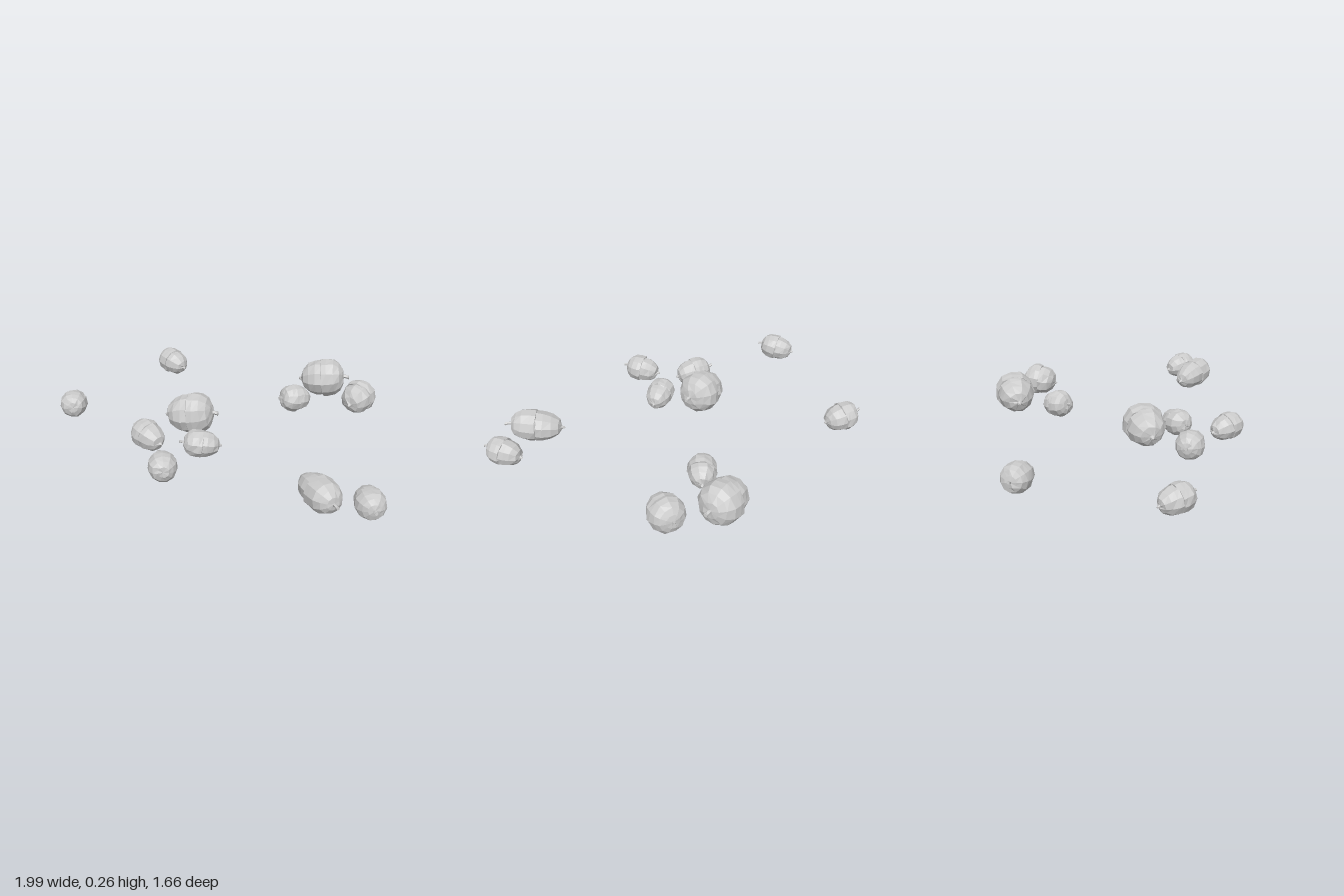
import * as THREE from 'three';

const material = new THREE.MeshStandardMaterial({ color: 0xcccccc, flatShading: true, side: THREE.DoubleSide });

// Repeatable noise from a position, so coincident vertices move together
function noise(x, y, z, seed) {
  const r = (v) => Math.round(v * 2000);
  const s = Math.sin(r(x) * 12.9898 + r(y) * 78.233 + r(z) * 37.719 + seed * 4.137) * 43758.5453;
  return (s - Math.floor(s)) * 2 - 1;
}

function roughen(geometry, amount, seed) {
  const p = geometry.attributes.position;
  for (let i = 0; i < p.count; i++) {
    const x = p.getX(i), y = p.getY(i), z = p.getZ(i);
    p.setXYZ(i,
      x * (1 + amount * noise(x, y, z, seed)),
      y + amount * 0.08 * noise(x, y, z, seed + 7),
      z * (1 + amount * noise(x, y, z, seed + 13)));
  }
  geometry.computeVertexNormals();
  return geometry;
}

// Profiles as [share of radius, share of length], from the tip to the stem end
const NUT = [[0, 0], [0.07, 0.015], [0.13, 0.055], [0.52, 0.1], [0.8, 0.22], [0.93, 0.36], [0.95, 0.5], [0.6, 0.65], [0, 0.68]];
const CAP = [[0.8, 0.54], [0.93, 0.47], [1.01, 0.48], [1.02, 0.58], [0.95, 0.72], [0.74, 0.83], [0.4, 0.89], [0, 0.905]];

function turned(profile, radius, length, sides) {
  return new THREE.LatheGeometry(profile.map(([r, t]) => new THREE.Vector2(r * radius, t * length)), sides);
}

function part(group, name, geometry) {
  const mesh = new THREE.Mesh(geometry, material);
  mesh.name = name;
  group.add(mesh);
}

// One acorn lying between its nut tip and its stem end
function acorn(tip, stemEnd, radius, seed) {
  const group = new THREE.Group();
  group.name = 'acorn';
  const from = new THREE.Vector3(...tip);
  const axis = new THREE.Vector3(...stemEnd).sub(from);
  const length = axis.length();

  part(group, 'nut', roughen(turned(NUT, radius, length, 10), 0.05, seed));
  part(group, 'cap', roughen(turned(CAP, radius, length, 11), 0.045, seed + 3));

  // Short stem, slightly bent and flared at its end
  const curve = new THREE.QuadraticBezierCurve3(
    new THREE.Vector3(0, length * 0.87, 0),
    new THREE.Vector3(0, length * 0.95, 0),
    new THREE.Vector3(radius * 0.06, length, radius * 0.04));
  part(group, 'stem', new THREE.TubeGeometry(curve, 2, radius * 0.1, 5));
  const end = new THREE.CylinderGeometry(radius * 0.12, radius * 0.1, length * 0.02, 5);
  end.translate(radius * 0.06, length * 0.995, radius * 0.04);
  part(group, 'stemEnd', end);

  group.position.copy(from);
  group.quaternion.setFromUnitVectors(new THREE.Vector3(0, 1, 0), axis.normalize());
  return group;
}

export function createModel() {
  const model = new THREE.Group();
  model.name = 'scatteredAcorns';

  // [tip x, y, z], [stem end x, y, z], radius
  const acorns = [
    // Two large acorns
    [[0.433, 0.11, -0.577], [0.749, 0.156, -0.577], 0.12],
    [[-0.3, 0.11, 0.055], [0.015, 0.156, 0.055], 0.12],
    // Middle-sized acorns
    [[0.765, 0.1, -0.267], [0.877, 0.135, -0.48], 0.098],
    [[0.563, 0.085, 0.54], [0.757, 0.122, 0.822], 0.09],
    // Small acorns
    [[-0.355, 0.062, -0.675], [-0.552, 0.095, -0.805], 0.084],
    [[0.522, 0.07, -0.395], [0.337, 0.11, -0.275], 0.082],
    [[0.08, 0.06, 0.265], [-0.152, 0.095, 0.325], 0.08],
    [[-0.255, 0.062, 0.33], [-0.455, 0.095, 0.19], 0.084],
    [[-0.228, 0.062, 0.443], [-0.155, 0.095, 0.668], 0.08],
    [[0.882, 0.062, 0.57], [0.942, 0.095, 0.797], 0.08],
    [[-0.942, 0.062, -0.145], [-0.88, 0.095, 0.082], 0.08],
  ];
  acorns.forEach(([tip, stemEnd, radius], i) => model.add(acorn(tip, stemEnd, radius, i + 1)));
  return model;
}
